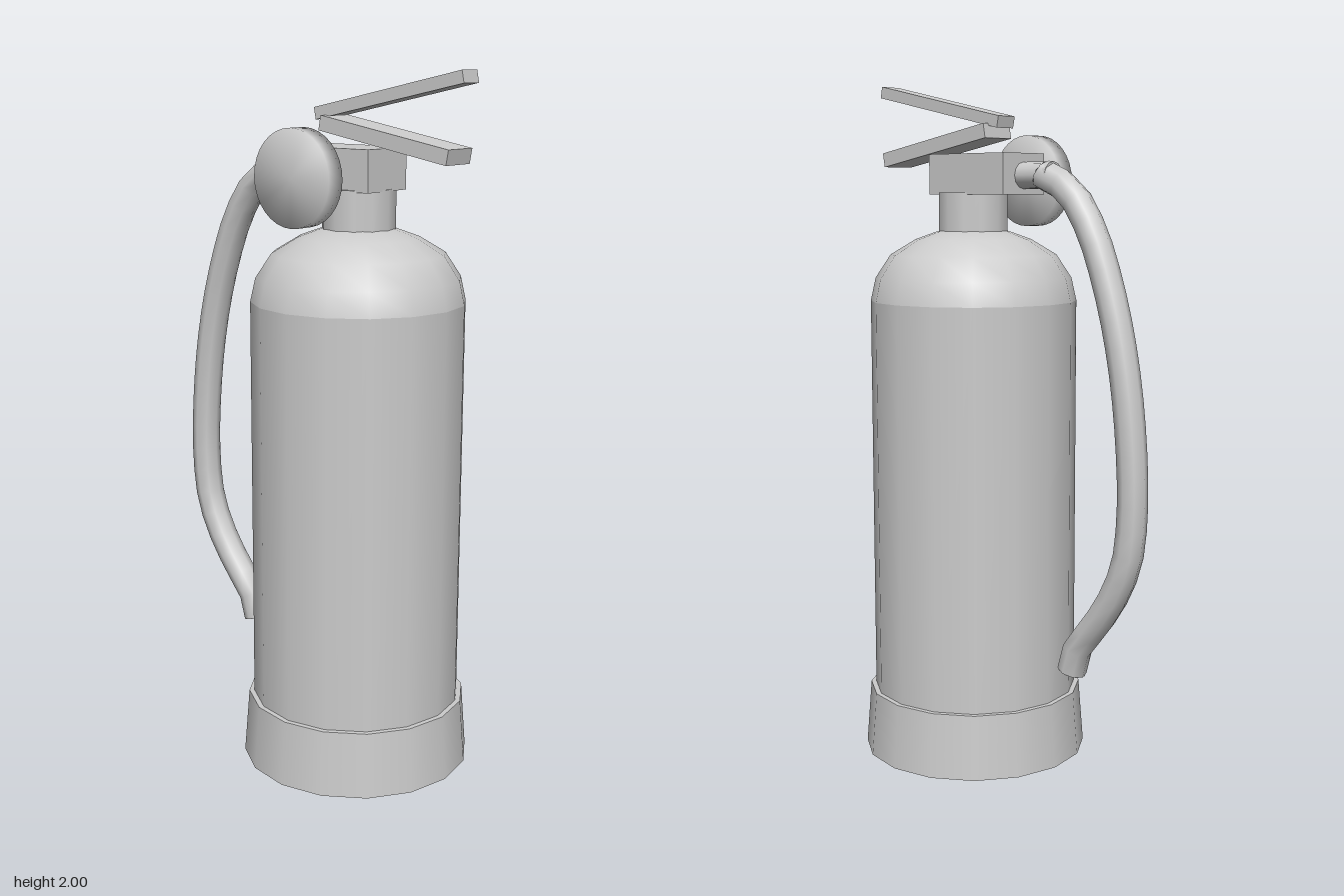
import * as THREE from 'three';
import { mergeVertices } from 'three/addons/utils/BufferGeometryUtils.js';

const CX = 0.143; // axis of the tank
const material = new THREE.MeshStandardMaterial({ color: 0xcccccc, side: THREE.DoubleSide });

export function createModel() {
  const group = new THREE.Group();

  const add = (name, geometry, x = 0, y = 0, z = 0) => {
    const mesh = new THREE.Mesh(geometry, material);
    mesh.name = name;
    mesh.position.set(x, y, z);
    group.add(mesh);
    return mesh;
  };

  // Weld vertices so that normals run smoothly over the edges
  const weld = (geometry) => {
    geometry.deleteAttribute('normal');
    geometry.deleteAttribute('uv');
    const welded = mergeVertices(geometry);
    welded.computeVertexNormals();
    return welded;
  };

  // Flat bar between two points in the x-y plane
  const bar = (name, [x0, y0], [x1, y1], thickness, width) => {
    const length = Math.hypot(x1 - x0, y1 - y0);
    const mesh = add(name, new THREE.BoxGeometry(length, thickness, width), (x0 + x1) / 2, (y0 + y1) / 2, 0);
    mesh.rotation.z = Math.atan2(y1 - y0, x1 - x0);
  };

  // Tank: foot ring, straight wall, domed shoulder, neck
  add('base', new THREE.CylinderGeometry(0.32, 0.335, 0.19, 16), CX, 0.095, 0);
  add('tankWall', new THREE.CylinderGeometry(0.305, 0.305, 1.345, 16, 1, true), CX, 0.6925, 0);
  const dome = [[0.305, 1.365], [0.29, 1.432], [0.245, 1.5], [0.17, 1.545], [0.1, 1.57], [0, 1.575]];
  add('tankShoulder', new THREE.LatheGeometry(dome.map(([r, y]) => new THREE.Vector2(r, y)), 16), CX, 0, 0);
  add('neck', new THREE.CylinderGeometry(0.104, 0.104, 0.12, 12), CX, 1.62, 0);

  // Valve
  add('valveBlock', new THREE.BoxGeometry(0.303, 0.116, 0.168), 0.09, 1.733, 0);

  // Pressure gauge on its stem
  const stem = new THREE.CylinderGeometry(0.033, 0.033, 0.11, 12).rotateX(Math.PI / 2);
  add('gaugeStem', stem, 0.09, 1.715, 0.125);
  const gauge = new THREE.CylinderGeometry(0.134, 0.134, 0.055, 32).rotateX(Math.PI / 2);
  add('gauge', weld(gauge), 0.09, 1.715, 0.197);

  // Carrying handle and squeeze lever
  bar('carryHandle', [0.044, 1.855], [0.478, 1.778], 0.042, 0.107);
  bar('squeezeLever', [0.01, 1.879], [0.508, 1.983], 0.034, 0.067);

  // Hose fitting and hose
  const fitting = new THREE.CylinderGeometry(0.038, 0.038, 0.12, 12).rotateZ(Math.PI / 2);
  add('hoseFitting', fitting, -0.115, 1.728, 0);
  const path = [
    [-0.14, 1.729], [-0.235, 1.685], [-0.315, 1.58], [-0.385, 1.41], [-0.435, 1.22], [-0.465, 1.01],
    [-0.473, 0.81], [-0.455, 0.665], [-0.4, 0.545], [-0.33, 0.45], [-0.28, 0.39], [-0.257, 0.315],
  ].map(([x, y]) => new THREE.Vector3(x, y, 0));
  const curve = new THREE.CatmullRomCurve3(path);
  add('hose', new THREE.TubeGeometry(curve, 22, 0.043, 8));

  // Caps closing the hose ends
  for (const t of [0, 1]) {
    const cap = add('hoseEnd', new THREE.CircleGeometry(0.043, 8));
    cap.position.copy(curve.getPointAt(t));
    const outward = curve.getTangentAt(t).multiplyScalar(t ? 1 : -1);
    cap.quaternion.setFromUnitVectors(new THREE.Vector3(0, 0, 1), outward);
  }

  return group;
}
